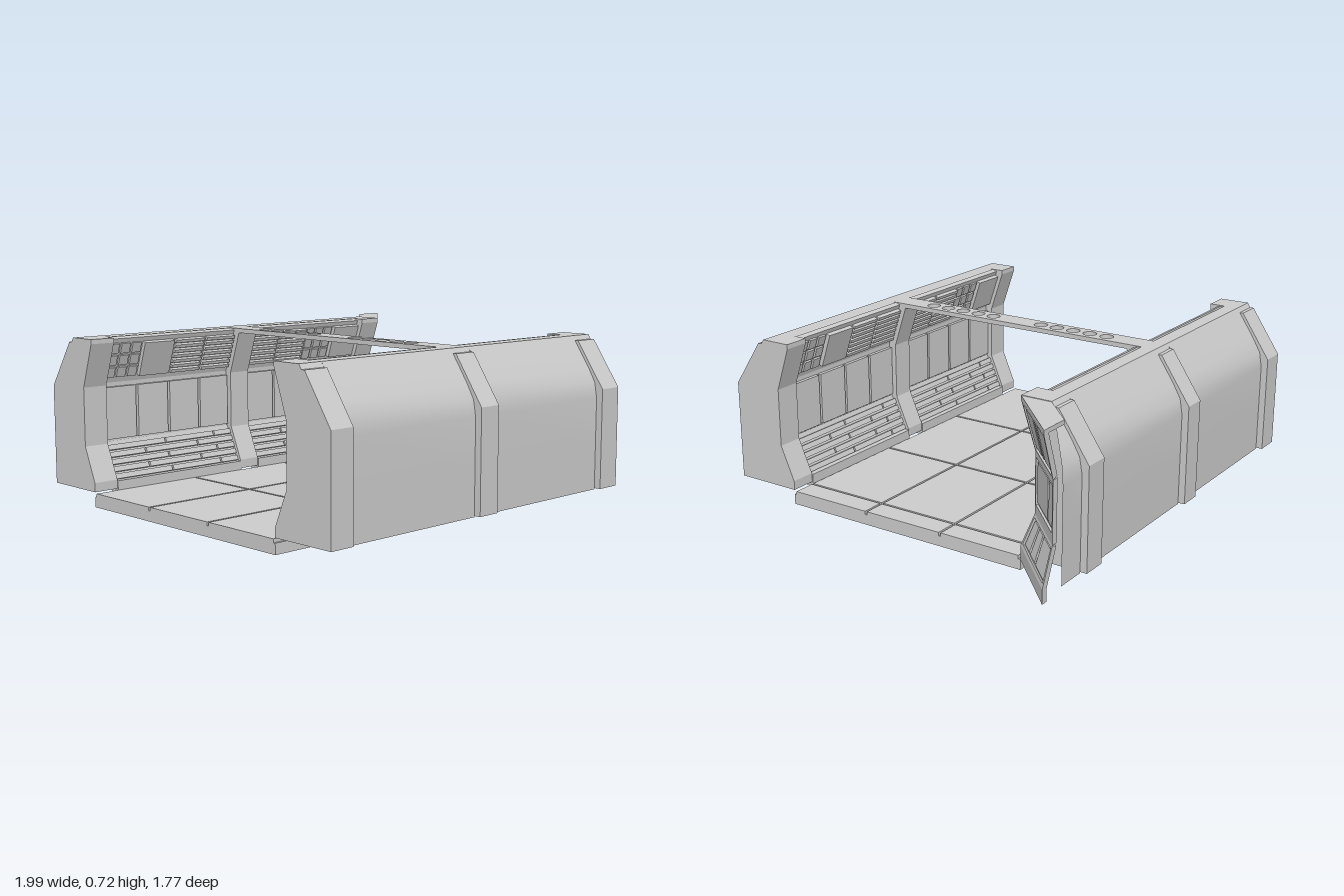
import * as THREE from 'three';

const MAT = new THREE.MeshStandardMaterial({ color: 0xcccccc });
const THIN = new THREE.MeshStandardMaterial({ color: 0xcccccc, side: THREE.DoubleSide });
const CX = -0.1425;                                    // middle of the corridor in x
const RIBS = [[-1, -0.885], [-0.195, -0.09], [0.605, 0.715]];
const BAYS = [[-0.885, -0.195], [-0.09, 0.605]];

// Wall sections as [depth, height], bottom to top
const LOWER = [[0.585, 0.105], [0.65, 0.255]];
const MIDDLE = [[0.65, 0.255], [0.65, 0.51]];
const UPPER = [[0.65, 0.51], [0.585, 0.7]];

function add(parent, name, geometry, material = MAT) {
  const mesh = new THREE.Mesh(geometry, material);
  mesh.name = name;
  parent.add(mesh);
  return mesh;
}

function box(parent, name, x0, x1, y0, y1, z0, z1) {
  const g = new THREE.BoxGeometry(x1 - x0, y1 - y0, z1 - z0);
  g.translate((x0 + x1) / 2, (y0 + y1) / 2, (z0 + z1) / 2);
  return add(parent, name, g);
}

// Extrude a [depth, height] outline along x
function prism(parent, name, outline, x0, x1) {
  const shape = new THREE.Shape(outline.map(p => new THREE.Vector2(...p)));
  const g = new THREE.ExtrudeGeometry(shape, { depth: x1 - x0, bevelEnabled: false });
  g.rotateY(Math.PI / 2).translate(x0, 0, 0);
  return add(parent, name, g);
}

// Straight wall runs along x; the angled wall runs at 45 degrees and is cut off at z = -0.86
const straight = (s, d, y) => [s, y, -d];
const angled = (s, d, y) => {
  const t = s * (0.86 - d);
  return [0.715 + t, y, -d - t];
};

// Slab lying on a wall section: s along the wall, v up the section, l towards the room
function slab(parent, name, place, [a, b], [s0, s1], [v0, v1], [l0, l1]) {
  const dd = b[0] - a[0], dy = b[1] - a[1], len = Math.hypot(dd, dy);
  const g = new THREE.BoxGeometry(1, 1, 1).translate(0.5, 0.5, 0.5);
  const p = g.attributes.position;
  for (let i = 0; i < p.count; i++) {
    const s = s0 + (s1 - s0) * p.getX(i);
    const v = v0 + (v1 - v0) * p.getY(i);
    const l = l0 + (l1 - l0) * p.getZ(i);
    p.setXYZ(i, ...place(s, a[0] + dd * v - dy / len * l, a[1] + dy * v + dd / len * l));
  }
  g.computeVertexNormals();
  return add(parent, name, g);
}

// Smooth outer skin between x0 and x1; mitre slants the far end
function skin(parent, x0, x1, mitre = 0) {
  const profile = [[0.72, 0.72], [0.765, 0.654], [0.81, 0.586], [0.843, 0.528], [0.855, 0.46], [0.855, 0.25], [0.855, 0.06]];
  const pos = [], idx = [];
  profile.forEach(([d, y], i) => {
    pos.push(x0, y, -d, x1 + mitre * (d - 0.72), y, -d);
    const k = i * 2;
    if (i) idx.push(k - 2, k - 1, k, k - 1, k + 1, k);
  });
  const g = new THREE.BufferGeometry();
  g.setAttribute('position', new THREE.Float32BufferAttribute(pos, 3));
  g.setIndex(idx);
  g.computeVertexNormals();
  add(parent, 'outerSkin', g, THIN);
}

// Grid of small plates with gaps on an upper wall panel
function plates(wall, name, [x0, x1], cols, rows, lift) {
  const w = (x1 - x0) / cols, h = 0.84 / rows;
  for (let c = 0; c < cols; c++) for (let r = 0; r < rows; r++)
    slab(wall, name, straight, UPPER, [x0 + c * w + 0.006, x0 + (c + 1) * w - 0.006],
      [0.08 + r * h + 0.03, 0.08 + (r + 1) * h - 0.02], lift);
}

function buildWall() {
  const wall = new THREE.Group();
  const rib = [[0.585, 0.065], [0.885, 0.065], [0.885, 0.5], [0.75, 0.7], [0.733, 0.7], [0.72, 0.72],
    [0.585, 0.72], [0.585, 0.7], [0.65, 0.51], [0.65, 0.255], [0.585, 0.105]];
  for (const [x0, x1] of RIBS) prism(wall, 'rib', rib, x0, x1);

  BAYS.forEach(([x0, x1], bay) => {
    const w = x1 - x0;
    skin(wall, x0, x1);
    prism(wall, 'topCap', [[0.625, 0.685], [0.69, 0.685], [0.72, 0.72], [0.655, 0.72], [0.625, 0.7]], x0, x1);
    box(wall, 'bottomRail', x0, x1, 0.045, 0.1, -0.63, -0.58);

    // Recessed backing of the three sections
    slab(wall, 'lowerBacking', straight, LOWER, [x0, x1], [-0.1, 1.1], [-0.065, -0.025]);
    slab(wall, 'middleBacking', straight, MIDDLE, [x0, x1], [-0.05, 1.05], [-0.06, -0.035]);
    slab(wall, 'upperBacking', straight, UPPER, [x0, x1], [-0.05, 1], [-0.06, -0.035]);

    // Lower section: staggered boards
    for (let r = 0; r < 5; r++) {
      const cuts = [0, r % 2 ? 0.28 : 0.45, r % 2 ? 0.7 : 0.85, 1];
      for (let i = 0; i < 3; i++)
        slab(wall, 'lowerBoard', straight, LOWER, [x0 + w * cuts[i] + 0.004, x0 + w * cuts[i + 1] - 0.004],
          [r * 0.2 + 0.03, r * 0.2 + 0.17], [-0.025, -0.01]);
    }

    // Middle section: plain panels
    for (let i = 0; i < 4; i++)
      slab(wall, 'middlePanel', straight, MIDDLE, [x0 + w * i / 4 + 0.006, x0 + w * (i + 1) / 4 - 0.006],
        [0.05, 0.95], [-0.035, -0.018]);

    // Upper section: vents, plain panels and louvres
    const q = i => [x0 + w * i / 4, x0 + w * (i + 1) / 4];
    const plain = i => plates(wall, 'upperPanel', q(i), 1, 1, [-0.035, -0.015]);
    const louvre = i => plates(wall, 'louvreSlat', q(i), 1, 7, [-0.035, -0.016]);
    const vent = i => plates(wall, 'ventBlock', q(i), 3, 3, [-0.035, -0.025]);
    if (bay === 0) { vent(0); plain(1); louvre(2); louvre(3); }
    else { louvre(0); louvre(1); vent(2); plain(3); }
  });
  return wall;
}

function buildAngledWall() {
  const wall = new THREE.Group();
  wall.name = 'angledWall';
  const base = [-0.03, -0.014], raised = [-0.014, 0], inset = [-0.014, -0.006];
  const panel = (section, v0, v1, cuts) => {
    slab(wall, 'angledBacking', angled, section, [0, 1], [0, 1], base);
    slab(wall, 'frameBottom', angled, section, [0, 1], [0, v0], raised);
    slab(wall, 'frameTop', angled, section, [0, 1], [v1, 1], raised);
    slab(wall, 'frameSide', angled, section, [0, 0.045], [v0, v1], raised);
    slab(wall, 'frameSide', angled, section, [0.955, 1], [v0, v1], raised);
    for (let i = 0; i < cuts.length - 1; i++)
      slab(wall, 'insetPlate', angled, section, [cuts[i] + 0.025, cuts[i + 1] - 0.025], [v0 + 0.05, v1 - 0.05], inset);
  };
  panel(LOWER, 0.1, 0.92, [0.045, 0.3, 0.55, 0.955]);
  panel(MIDDLE, 0.17, 0.92, [0.045, 0.7, 0.955]);
  panel(UPPER, 0.06, 0.94, [0.045, 0.42, 0.55, 0.955]);

  // Flat head and foot of the angled wall
  const foot = [[0.585, 0.045], [0.585, 0.105]], head = [[0.585, 0.7], [0.585, 0.718]];
  slab(wall, 'foot', angled, foot, [0, 1], [0, 1], [-0.03, 0]);
  slab(wall, 'head', angled, head, [0, 1], [0, 1], [-0.135, 0]);
  skin(wall, 0.715, 0.715, 1);
  return wall;
}

function buildFloor() {
  const floor = new THREE.Group();
  floor.name = 'floor';
  box(floor, 'floorSlab', -1, 0.715, 0, 0.045, -0.585, 0.585);
  const xs = [-1, -0.47, 0.07, 0.61, 0.715], zs = [-0.58, -0.195, 0.187, 0.58], gap = 0.005;
  for (let i = 0; i < 4; i++) for (let j = 0; j < 3; j++)
    box(floor, 'floorTile', xs[i] + (i ? gap : 0), xs[i + 1] - (i < 3 ? gap : 0), 0.045, 0.06, zs[j] + gap, zs[j + 1] - gap);
  return floor;
}

// Overhead beam with two rows of five round holes
function buildBeam(parent) {
  const shape = new THREE.Shape([[-0.0525, -0.59], [0.0525, -0.59], [0.0525, 0.59], [-0.0525, 0.59]]
    .map(p => new THREE.Vector2(...p)));
  for (const side of [-1, 1]) for (let i = 0; i < 5; i++) {
    const hole = new THREE.Path();
    hole.absarc(0, side * (0.126 + i * 0.083), 0.03, 0, Math.PI * 2, true);
    shape.holes.push(hole);
  }
  const g = new THREE.ExtrudeGeometry(shape, { depth: 0.02, bevelEnabled: false, curveSegments: 20 });
  g.rotateX(-Math.PI / 2).translate(CX, 0.7, 0);
  add(parent, 'overheadBeam', g);
}

export function createModel() {
  const model = new THREE.Group();
  model.name = 'corridorSection';
  const back = buildWall();
  back.name = 'backWall';
  // The front wall is the back wall turned half round the corridor middle
  const front = buildWall();
  front.name = 'frontWall';
  front.rotation.y = Math.PI;
  front.position.x = 2 * CX;
  model.add(buildFloor(), back, front, buildAngledWall());
  buildBeam(model);
  return model;
}
